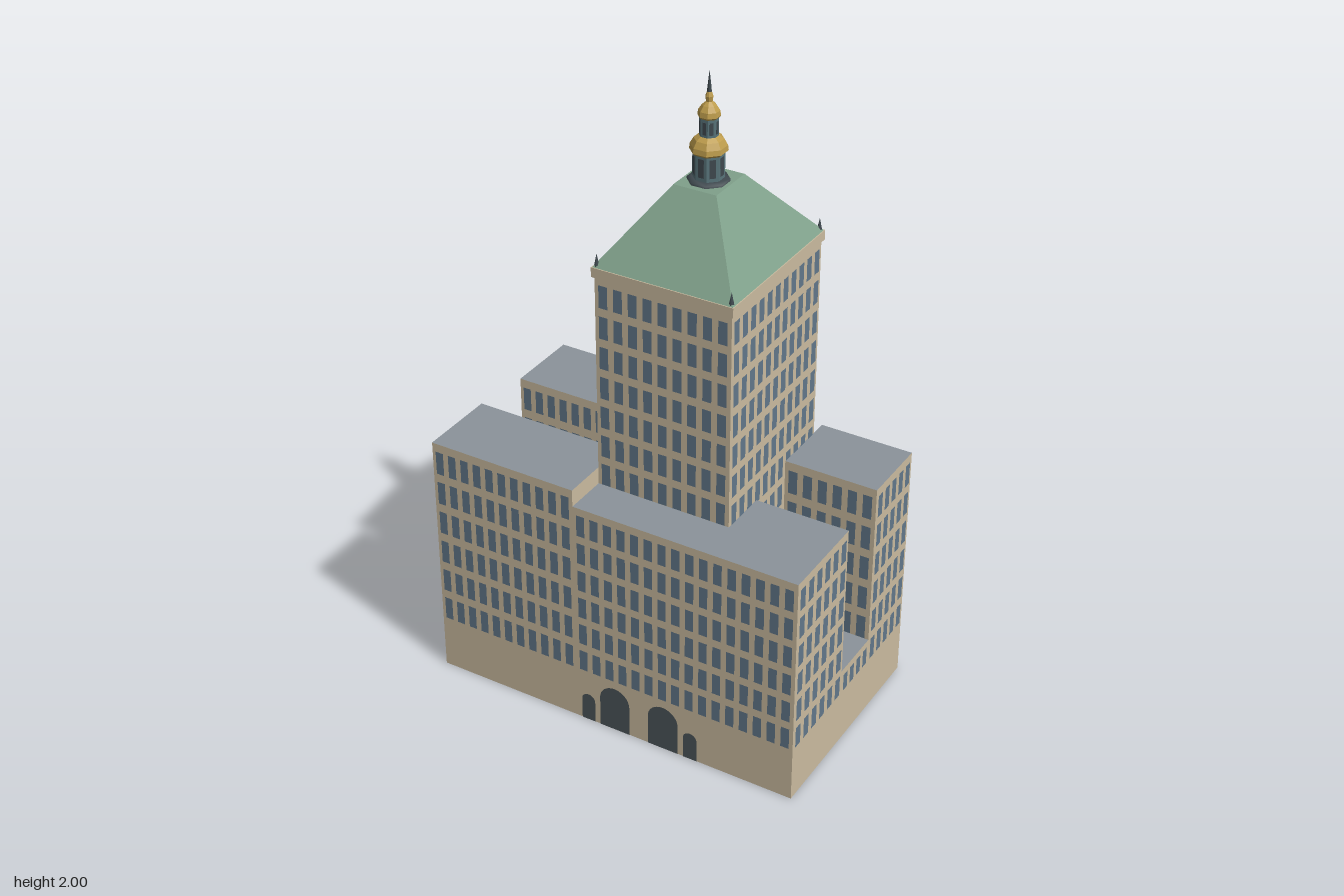
import * as THREE from 'three';
import { mergeGeometries } from 'three/addons/utils/BufferGeometryUtils.js';

const mat = (color, side = THREE.FrontSide, flatShading = false) =>
  new THREE.MeshStandardMaterial({ color, side, flatShading });

export function createModel() {
  const stone = mat(0xcbbca0, THREE.DoubleSide);
  const glass = mat(0x62778a);
  const slate = mat(0x8b939a, THREE.DoubleSide);
  const copper = mat(0x7fa08a, THREE.FrontSide, true);
  const gold = mat(0xbd9c4c, THREE.FrontSide, true);
  const drum = mat(0x58747a, THREE.FrontSide, true);
  const dark = mat(0x3f494f);
  const doorMat = mat(0x4c5559);

  const model = new THREE.Group();
  const building = new THREE.Group();
  building.name = 'building';
  building.rotation.y = -0.508; // the block stands askew to the frame
  model.add(building);

  const add = (name, geometry, material, x = 0, y = 0, z = 0) => {
    const m = new THREE.Mesh(geometry, material);
    m.name = name;
    m.position.set(x, y, z);
    building.add(m);
    return m;
  };

  // A wall from a to b (left to right seen from outside) with a window grid
  const BASE = 0.18;
  function wall(name, ax, az, bx, bz, y0, y1, windows = true) {
    const width = Math.hypot(bx - ax, bz - az);
    const g = new THREE.Group();
    g.name = name;
    g.position.set((ax + bx) / 2, 0, (az + bz) / 2);
    g.rotation.y = Math.atan2(az - bz, bx - ax);
    const face = new THREE.Mesh(new THREE.PlaneGeometry(width, y1 - y0), stone);
    face.name = name + 'Face';
    face.position.y = (y0 + y1) / 2;
    g.add(face);
    if (windows) {
      const start = Math.max(y0, BASE);
      const rows = Math.max(1, Math.round((y1 - start) / 0.098));
      const cols = Math.max(1, Math.round((width - 0.01) / 0.045));
      const dy = (y1 - start) / rows, dx = (width - 0.006) / cols;
      const panes = [];
      for (let r = 0; r < rows; r++) {
        for (let c = 0; c < cols; c++) {
          const pane = new THREE.PlaneGeometry(dx * 0.6, dy * 0.73);
          pane.translate((c - (cols - 1) / 2) * dx, start + dy * (r + 0.38), 0.0015);
          panes.push(pane);
        }
      }
      const w = new THREE.Mesh(mergeGeometries(panes), glass);
      w.name = name + 'Windows';
      g.add(w);
    }
    building.add(g);
  }

  // Plan lines: outer block, tower and side courts
  const L = 0.607, D = 0.349;
  const tx0 = -0.12, tx1 = 0.311, tz0 = -0.298, tz1 = 0.21;
  const rF = 0.052, rB = -0.121, lF = 0.098, lB = -0.108;
  const hLeft = 0.815, hFront = 0.76, hBack = 0.795, court = 0.26, hTower = 1.44;

  // Outer walls, open below
  wall('frontLeftWall', -L, D, tx0, D, 0, hLeft);
  wall('frontWall', tx0, D, L, D, 0, hFront);
  wall('rightFrontWall', L, D, L, rF, 0, hFront);
  wall('rightCourtBase', L, rF, L, rB, 0, court);
  wall('rightBackWall', L, rB, L, -D, 0, hBack);
  wall('backRightWall', L, -D, tx1, -D, 0, hBack);
  wall('backRightReturn', tx1, -D, tx1, tz0, 0, hBack, false);
  wall('backLeftReturn', tx0, tz0, tx0, -D, 0, hBack, false);
  wall('backLeftWall', tx0, -D, -L, -D, 0, hBack);
  wall('leftBackWall', -L, -D, -L, lB, 0, hBack);
  wall('leftCourtBase', -L, lB, -L, lF, 0, court);
  wall('leftFrontWall', -L, lF, -L, D, 0, hLeft);

  // Walls around the side courts, and the step between the front roofs
  wall('rightCourtFront', L, rF, tx1, rF, court, hFront);
  wall('rightCourtBack', tx1, rB, L, rB, court, hBack);
  wall('leftCourtFront', tx0, lF, -L, lF, court, hLeft);
  wall('leftCourtBack', -L, lB, tx0, lB, court, hBack);
  wall('roofStep', tx0, D, tx0, tz1, hFront, hLeft, false);

  // Tower walls; the back one reaches the ground
  wall('towerFront', tx0, tz1, tx1, tz1, hFront, hTower);
  wall('towerRight', tx1, tz1, tx1, tz0, court, hTower);
  wall('towerBack', tx1, tz0, tx0, tz0, 0, hTower);
  wall('towerLeft', tx0, tz0, tx0, tz1, court, hTower);

  // Flat roofs
  const roof = (name, x0, x1, z0, z1, y) => {
    const g = new THREE.PlaneGeometry(x1 - x0, z1 - z0).rotateX(-Math.PI / 2);
    add(name, g, slate, (x0 + x1) / 2, y, (z0 + z1) / 2);
  };
  roof('frontLeftRoof', -L, tx0, lF, D, hLeft);
  roof('frontRoof', tx0, L, tz1, D, hFront);
  roof('frontRightRoof', tx1, L, rF, tz1, hFront);
  roof('backRightRoof', tx1, L, -D, rB, hBack);
  roof('backLeftRoof', -L, tx0, -D, lB, hBack);
  roof('rightCourtFloor', tx1, L, rB, rF, court);
  roof('leftCourtFloor', -L, tx0, lB, lF, court);

  // Arched doors, front and back
  const cx = (tx0 + tx1) / 2, cz = (tz0 + tz1) / 2;
  const arch = (w, h) => {
    const s = new THREE.Shape();
    s.moveTo(-w / 2, 0);
    s.lineTo(w / 2, 0);
    s.lineTo(w / 2, h - w / 2);
    s.absarc(0, h - w / 2, w / 2, 0, Math.PI, false);
    s.closePath();
    return new THREE.ShapeGeometry(s, 12);
  };
  for (const side of [1, -1]) {
    for (const [offset, w, h] of [[0.083, 0.102, 0.153], [0.175, 0.046, 0.095]]) {
      for (const k of [-1, 1]) {
        const z = side > 0 ? D + 0.002 : tz0 - 0.002;
        const d = add('archedDoor', arch(w, h), doorMat, cx + k * offset, 0.001, z);
        if (side < 0) d.rotation.y = Math.PI;
      }
    }
  }

  // Cornice and hipped roof with a flat top
  const eW = tx1 - tx0 + 0.014, eD = tz1 - tz0 + 0.014;
  add('cornice', new THREE.BoxGeometry(eW, 0.03, eD), stone, cx, hTower + 0.013, cz);
  const hip = new THREE.BoxGeometry(eW - 0.004, 0.212, eD - 0.004);
  const p = hip.attributes.position;
  for (let i = 0; i < p.count; i++) {
    if (p.getY(i) > 0) p.setXYZ(i, Math.sign(p.getX(i)) * 0.067 - 0.004, 0.106, Math.sign(p.getZ(i)) * 0.077);
  }
  hip.computeVertexNormals();
  add('hippedRoof', hip, copper, cx, 1.573, cz);

  // Small spikes at the roof corners
  for (const sx of [-1, 1]) {
    for (const sz of [-1, 1]) {
      add('cornerSpike', new THREE.ConeGeometry(0.008, 0.04, 6), dark,
        cx + sx * (eW / 2 - 0.012), 1.488, cz + sz * (eD / 2 - 0.012));
    }
  }

  // Octagonal lantern: two drums, gilded caps and a spike
  const lx = cx - 0.004, lz = cz + 0.003;
  const lathe = (name, points, material) =>
    add(name, new THREE.LatheGeometry(points.map(([r, y]) => new THREE.Vector2(r, y)), 8, Math.PI / 8),
      material, lx, 0, lz);
  lathe('lanternPlinth', [[0.06, 1.675], [0.06, 1.685], [0.048, 1.69], [0, 1.69]], dark);
  lathe('lowerDrum', [[0.045, 1.685], [0.045, 1.77]], drum);
  lathe('lowerCap', [[0.045, 1.762], [0.054, 1.77], [0.052, 1.785], [0.042, 1.803], [0.028, 1.813]], gold);
  lathe('upperDrum', [[0.027, 1.805], [0.027, 1.87]], drum);
  lathe('upperCap', [[0.026, 1.863], [0.032, 1.87], [0.03, 1.885], [0.02, 1.9], [0.009, 1.91],
    [0.011, 1.925], [0.006, 1.94]], gold);
  lathe('spike', [[0.007, 1.935], [0.004, 1.965], [0, 2]], dark);

  // Dark openings on the faces of both drums
  for (let i = 0; i < 8; i++) {
    const a = (i * Math.PI) / 4;
    for (const [r, y, w, h] of [[0.0415, 1.728, 0.018, 0.055], [0.025, 1.838, 0.01, 0.036]]) {
      const o = add('lanternOpening', new THREE.BoxGeometry(w, h, 0.002), dark,
        lx + Math.sin(a) * r, y, lz + Math.cos(a) * r);
      o.rotation.y = a;
    }
  }
  return model;
}
